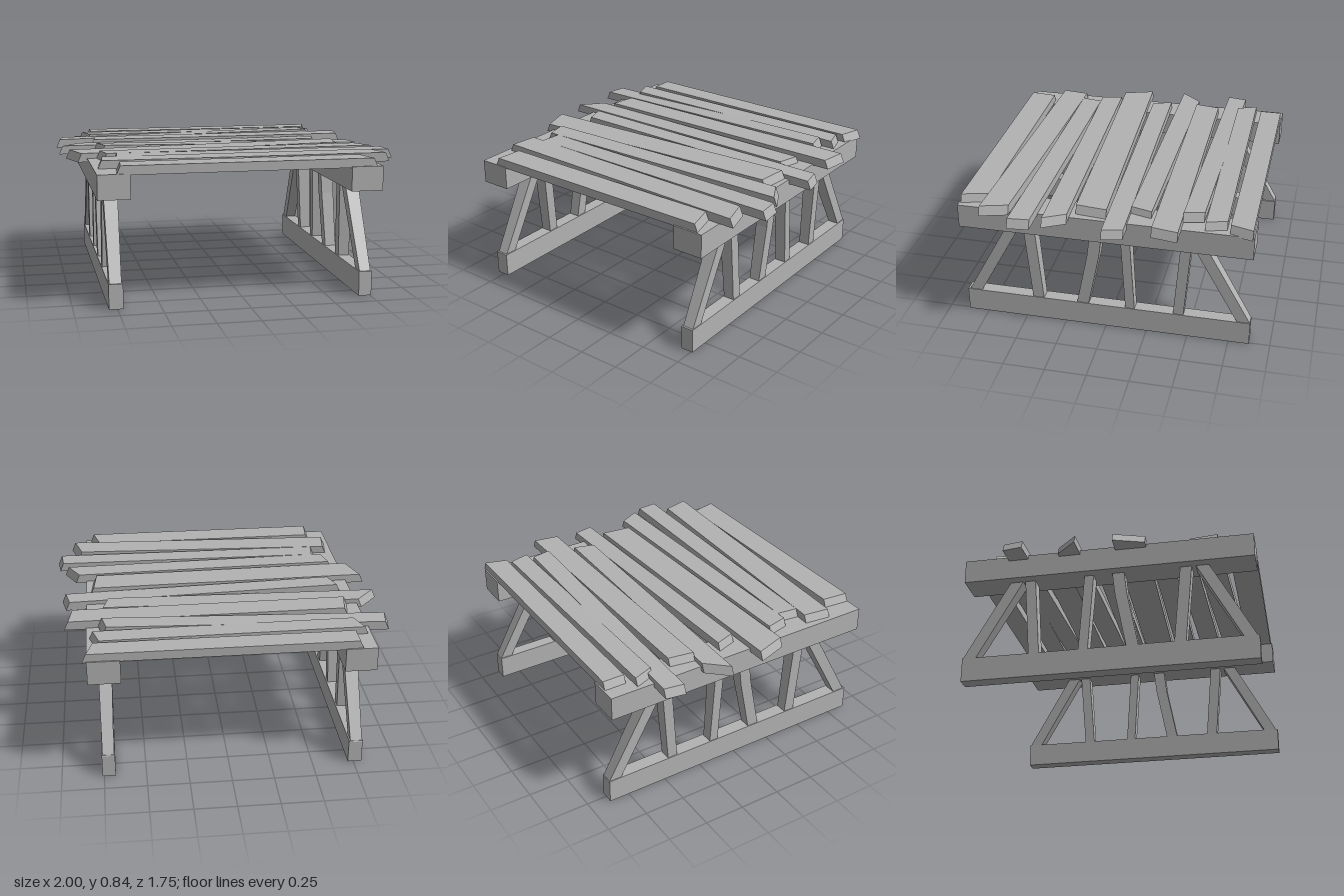
import * as THREE from 'three';

const wood = new THREE.MeshStandardMaterial({ color: 0xb2b2b2 });
wood.name = 'grey wood';

// Bends a unit box by a rule that maps its vertices to new positions.
function bentBox(name, rule, rows = 1) {
  const geometry = new THREE.BoxGeometry(1, 1, 1, 1, rows, 1).toNonIndexed();
  const p = geometry.attributes.position;
  for (let i = 0; i < p.count; i++) {
    p.setXYZ(i, ...rule(p.getX(i), p.getY(i), p.getZ(i)));
  }
  geometry.computeVertexNormals();
  const mesh = new THREE.Mesh(geometry, wood);
  mesh.name = name;
  return mesh;
}

function beam(name, x0, x1, y0, y1) {
  const mesh = new THREE.Mesh(new THREE.BoxGeometry(x1 - x0, y1 - y0, 1.75), wood);
  mesh.name = name;
  mesh.position.set((x0 + x1) / 2, (y0 + y1) / 2, 0);
  return mesh;
}

// Struts: centre z at foot and head, width, and an optional bend in z
const struts = [
  { foot: 0.828, head: 0.56, width: 0.078 },
  { foot: 0.422, head: 0.465, width: 0.068 },
  { foot: 0.145, head: 0.058, width: 0.072, bend: -0.008 },
  { foot: -0.148, head: -0.118, width: 0.056 },
  { foot: -0.442, head: -0.48, width: 0.063 },
  { foot: -0.838, head: -0.56, width: 0.078 },
];

// A strut widens slightly towards its head on the inner side
function strut({ foot, head, width, bend = 0 }, outer, inner) {
  return bentBox('strut', (x, y, z) => {
    const t = y < -0.1 ? 0 : y > 0.1 ? 1 : 0.7;
    const onInside = (x > 0) === (inner > outer);
    const px = onInside ? inner + Math.sign(inner - outer) * 0.014 * t : outer;
    const middle = foot + (head - foot) * t + (t === 0.7 ? bend : 0);
    return [px, 0.14 + 0.495 * t, middle + z * width];
  }, 2);
}

// Trestle: foot beam, top beam and the struts between them
function trestle(name, foot, top, outer, inner) {
  const group = new THREE.Group();
  group.name = name;
  group.add(beam('footBeam', ...foot, 0, 0.147));
  group.add(beam('topBeam', ...top, 0.63, 0.775));
  for (const s of struts) group.add(strut(s, outer, inner));
  return group;
}

// Planks, back to front: each end gives x, skew of the cut, centre z, and lift if uneven
const planks = [
  { width: 0.133, left: [-0.77, 0, -0.8], right: [0.82, -0.04, -0.8] },
  { width: 0.122, left: [-0.812, 0.045, -0.635], right: [0.782, 0.035, -0.652] },
  { width: 0.12, left: [-0.99, -0.02, -0.545, -0.02], right: [0.732, 0.025, -0.515, 0.015] },
  { width: 0.155, left: [-0.778, -0.025, -0.365], right: [0.932, -0.025, -0.38] },
  { width: 0.127, left: [-0.942, -0.115, -0.228, -0.02], right: [0.718, -0.035, -0.205, -0.01] },
  { width: 0.122, left: [-0.765, 0.04, -0.052], right: [0.952, 0.025, -0.085, -0.025] },
  { width: 0.185, left: [-0.94, 0.06, 0.148, -0.015], right: [0.78, -0.02, 0.078, 0.003] },
  { width: 0.13, left: [-0.785, 0.03, 0.308], right: [0.915, 0.07, 0.262] },
  { width: 0.128, left: [-0.718, -0.015, 0.435], right: [0.992, 0.012, 0.452] },
  { width: 0.163, left: [-0.82, -0.02, 0.578], right: [0.888, 0.045, 0.63, 0.008] },
  { width: 0.16, left: [-0.738, -0.015, 0.79], right: [0.765, 0.04, 0.785] },
];

// Plank ends are cut askew and bevelled inwards at the top
function plank({ width, left, right }) {
  return bentBox('plank', (x, y, z) => {
    const [endX, skew, middle, lift = 0] = x > 0 ? right : left;
    const bevel = y > 0 ? -Math.sign(x) * 0.023 : 0;
    return [endX + skew * z + bevel, 0.795 + 0.054 * y + lift, middle + width * z];
  });
}

export function createModel() {
  const model = new THREE.Group();
  model.name = 'plankPlatform';
  model.add(trestle('rightTrestle', [-0.80, -0.717], [-0.853, -0.666], -0.795, -0.725));
  model.add(trestle('leftTrestle', [0.682, 0.76], [0.625, 0.815], 0.755, 0.688));

  // Uneven deck
  const deck = new THREE.Group();
  deck.name = 'deck';
  for (const p of planks) deck.add(plank(p));
  model.add(deck);
  return model;
}
